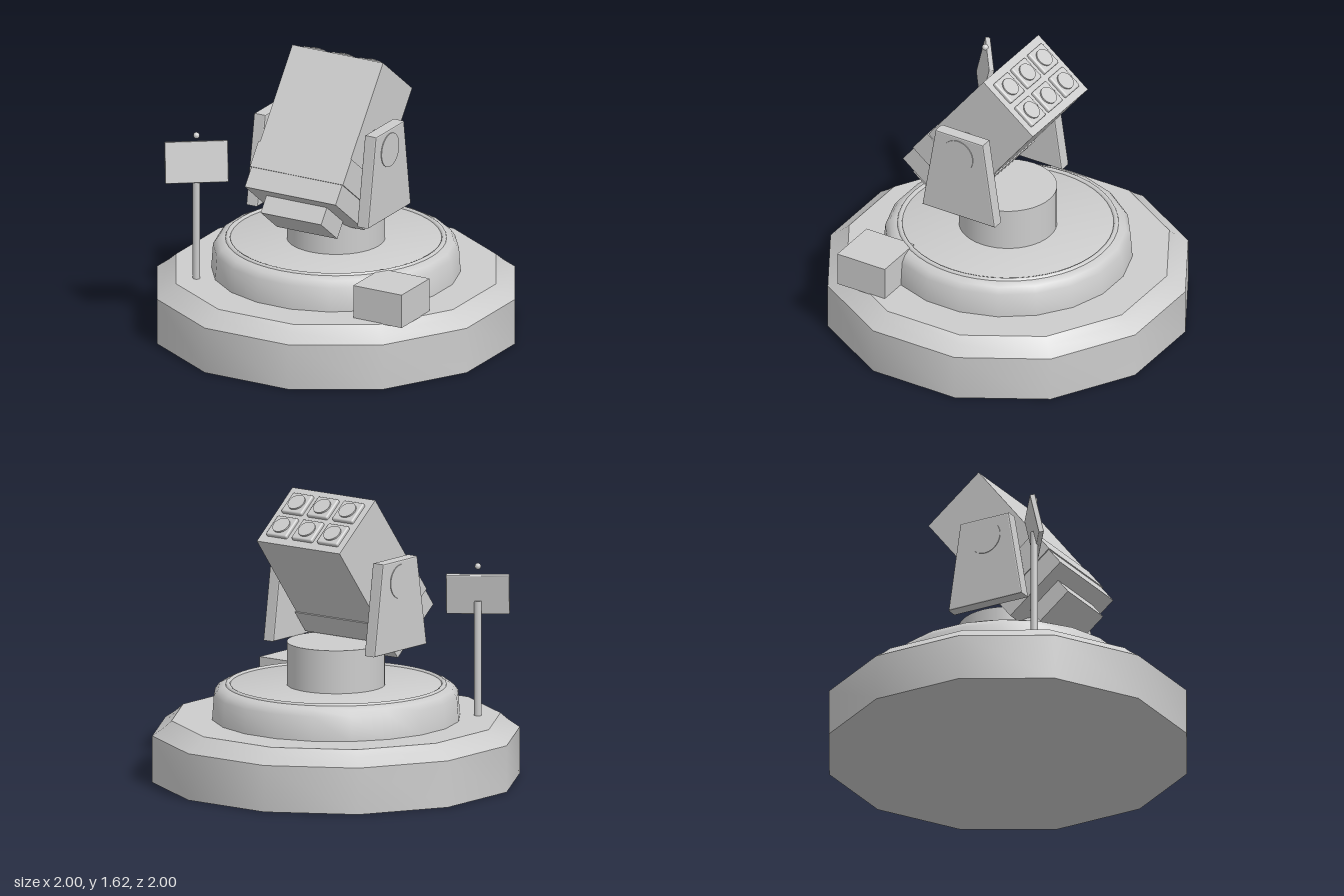
import * as THREE from 'three';
import { toCreasedNormals } from 'three/addons/utils/BufferGeometryUtils.js';
import { RoundedBoxGeometry } from 'three/addons/geometries/RoundedBoxGeometry.js';

export function createModel() {
  const root = new THREE.Group();
  const grey = new THREE.MeshStandardMaterial({ color: 0xcccccc });
  grey.name = 'light grey';

  function add(parent, name, geometry, x = 0, y = 0, z = 0) {
    const mesh = new THREE.Mesh(geometry, grey);
    mesh.name = name;
    mesh.position.set(x, y, z);
    parent.add(mesh);
    return mesh;
  }

  // Faceted turned tier: profile distances are measured to the flats
  function tier(profile, sides) {
    const k = 1 / Math.cos(Math.PI / sides);
    const points = profile.map(([r, y]) => new THREE.Vector2(r * k, y));
    const geometry = new THREE.LatheGeometry(points, sides).rotateY(Math.PI / sides);
    return toCreasedNormals(geometry, 0.7);
  }

  // Stepped base
  add(root, 'base', tier([[0, 0], [1, 0], [1, 0.265], [0.935, 0.312], [0.895, 0.348], [0, 0.348]], 12));
  add(root, 'turntable', tier([[0, 0.34], [0.69, 0.34], [0.68, 0.485], [0.655, 0.52], [0.62, 0.535], [0, 0.535]], 20));
  add(root, 'turntableRing', new THREE.TorusGeometry(0.605, 0.016, 8, 48).rotateX(Math.PI / 2), 0, 0.53, 0);
  add(root, 'pedestal', new THREE.CylinderGeometry(0.275, 0.275, 0.25, 40), 0, 0.655, 0);

  // Tapered yoke arms, drawn in side profile
  const b = 0.008;
  const side = new THREE.Shape([[-0.32 + b, 0.76 + b], [0.155 - b, 0.76 + b], [0.08 - b, 1.277 - b], [-0.235 + b, 1.277 - b]]
    .map(([x, y]) => new THREE.Vector2(x, y)));
  const armGeometry = new THREE.ExtrudeGeometry(side, {
    depth: 0.075 - 2 * b, bevelSize: b, bevelThickness: b, bevelSegments: 2,
  }).translate(0, 0, b - 0.0375).rotateY(Math.PI / 2);
  for (const s of [-1, 1]) add(root, s > 0 ? 'leftArm' : 'rightArm', armGeometry, s * 0.358, 0, 0);

  // Tilted launcher pod, its length along local y, turning about the axle
  const pod = new THREE.Group();
  pod.name = 'pod';
  pod.position.set(0, 1.157, 0.083);
  pod.rotation.x = THREE.MathUtils.degToRad(-38);
  root.add(pod);
  add(pod, 'axle', new THREE.CylinderGeometry(0.098, 0.098, 0.8, 32).rotateZ(Math.PI / 2));
  add(pod, 'podBody', new THREE.BoxGeometry(0.586, 0.86, 0.412));
  add(pod, 'podBand', new THREE.BoxGeometry(0.6, 0.155, 0.424), 0, -0.232, 0);
  add(pod, 'rearBlock', new THREE.BoxGeometry(0.39, 0.115, 0.23), 0, -0.477, 0);

  // Six tube covers on the muzzle end
  const coverGeometry = new RoundedBoxGeometry(0.145, 0.04, 0.145, 2, 0.01);
  const capGeometry = new THREE.CylinderGeometry(0.052, 0.052, 0.012, 24);
  for (const x of [-0.18, 0, 0.18]) {
    for (const z of [-0.088, 0.088]) {
      add(pod, 'tubeCover', coverGeometry, x, 0.43, z);
      add(pod, 'tubeCap', capGeometry, x, 0.453, z);
    }
  }

  // Angled panel on a post
  add(root, 'panelPost', new THREE.CylinderGeometry(0.021, 0.021, 0.66, 16), -0.6, 0.67, 0.52);
  const panel = add(root, 'panel', new RoundedBoxGeometry(0.355, 0.235, 0.03, 2, 0.005), -0.6, 1.04, 0.52);
  panel.rotation.set(-0.22, 0.615, 0, 'YXZ');
  add(root, 'panelLamp', new THREE.SphereGeometry(0.018, 16, 12), -0.6, 1.198, 0.52);

  // Equipment crate on the base
  add(root, 'crate', new THREE.BoxGeometry(0.312, 0.196, 0.312), 0.635, 0.442, 0.477);

  return root;
}
